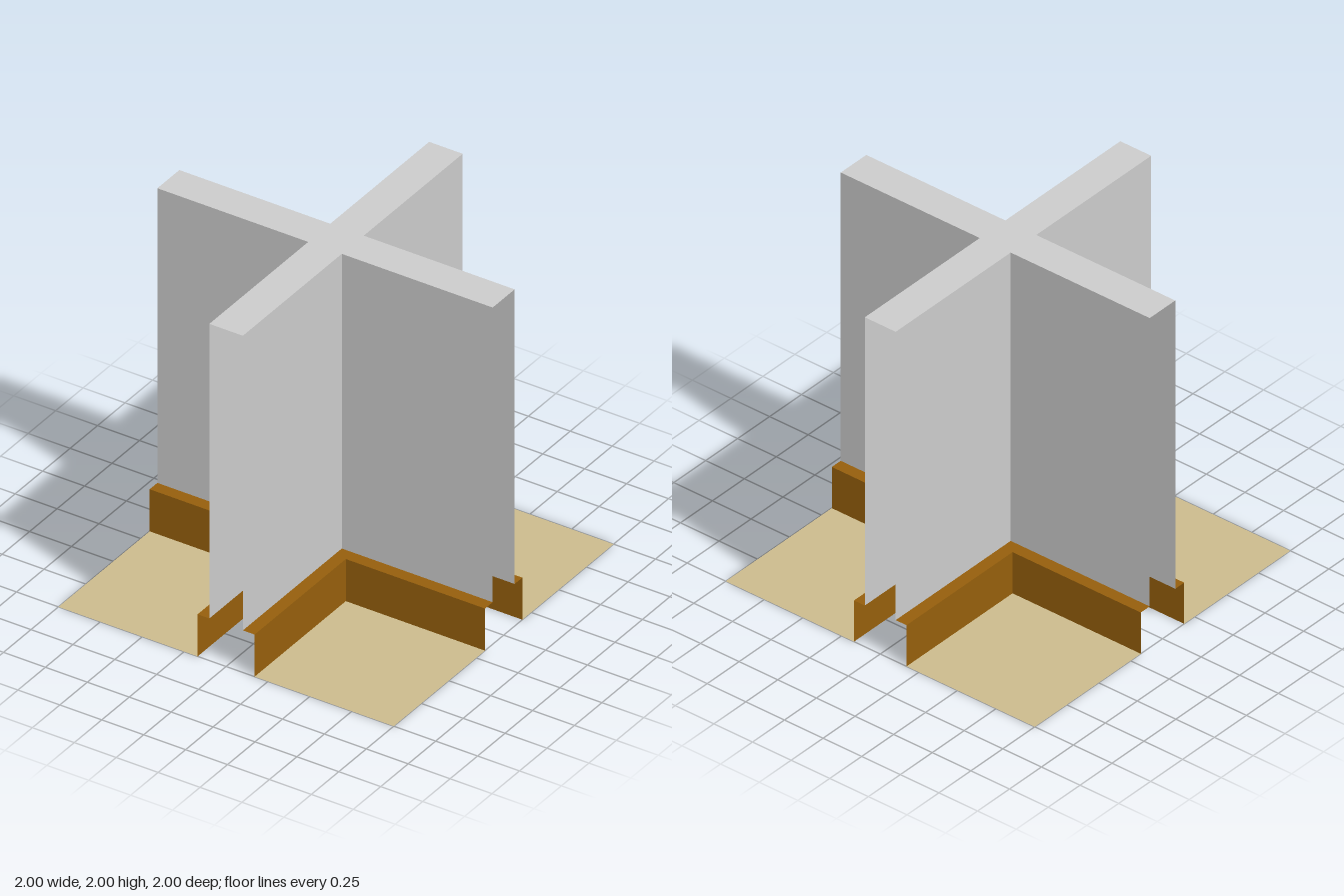
import * as THREE from 'three';

const INNER = 0.1;   // wall face distance from the centre lines
const SKIRT = 0.17;  // baseboard face distance from the centre lines
const EDGE = 1, BASE_H = 0.25, TOP = 2;

const paint = (name, color) => {
  const m = new THREE.MeshStandardMaterial({ color, side: THREE.DoubleSide });
  m.name = name;
  return m;
};

// Horizontal sheet facing up, outlined by [x, z] points
function sheet(points, y) {
  const shape = new THREE.Shape(points.map(([x, z]) => new THREE.Vector2(x, -z)));
  return new THREE.ShapeGeometry(shape).rotateX(-Math.PI / 2).translate(0, y, 0);
}

// Upright sheet facing +z, running from x = offset to the edge at z = offset
function upright(offset, y0, y1) {
  return new THREE.PlaneGeometry(EDGE - offset, y1 - y0)
    .translate((EDGE + offset) / 2, (y0 + y1) / 2, offset);
}

// The same sheet turned to face +x
const turned = (offset, y0, y1) => upright(offset, y0, y1)
  .translate(-(EDGE + offset) / 2, 0, -offset)
  .rotateY(Math.PI / 2)
  .translate(offset, 0, (EDGE + offset) / 2);

export function createModel() {
  const model = new THREE.Group();
  model.name = 'crossWalls';
  const wallGrey = paint('wallGrey', 0xcccccc);
  const woodBrown = paint('woodBrown', 0x965f0c);
  const floorTan = paint('floorTan', 0xccbb8d);

  const add = (parent, name, geometry, material) => {
    const mesh = new THREE.Mesh(geometry, material);
    mesh.name = name;
    parent.add(mesh);
  };

  // Four identical room corners, each with walls, baseboard and floor
  for (let i = 0; i < 4; i++) {
    const corner = new THREE.Group();
    corner.name = `roomCorner${i + 1}`;
    corner.rotation.y = i * Math.PI / 2;
    add(corner, 'wallA', upright(INNER, BASE_H, TOP), wallGrey);
    add(corner, 'wallB', turned(INNER, BASE_H, TOP), wallGrey);
    add(corner, 'baseboardA', upright(SKIRT, 0, BASE_H), woodBrown);
    add(corner, 'baseboardB', turned(SKIRT, 0, BASE_H), woodBrown);
    add(corner, 'baseboardLedge', sheet([
      [INNER, INNER], [EDGE, INNER], [EDGE, SKIRT],
      [SKIRT, SKIRT], [SKIRT, EDGE], [INNER, EDGE],
    ], BASE_H), woodBrown);
    add(corner, 'floor', sheet([
      [SKIRT, SKIRT], [EDGE, SKIRT], [EDGE, EDGE], [SKIRT, EDGE],
    ], 0), floorTan);
    model.add(corner);
  }

  // Cross-shaped cap closing the top of the hollow walls
  const cross = [];
  for (const [sx, sz] of [[1, 1], [-1, 1], [-1, -1], [1, -1]]) {
    const arm = [[sx * EDGE, sz * INNER], [sx * INNER, sz * INNER], [sx * INNER, sz * EDGE]];
    cross.push(...(sx * sz > 0 ? arm : arm.reverse()));
  }
  add(model, 'wallCap', sheet(cross, TOP), wallGrey);
  return model;
}
